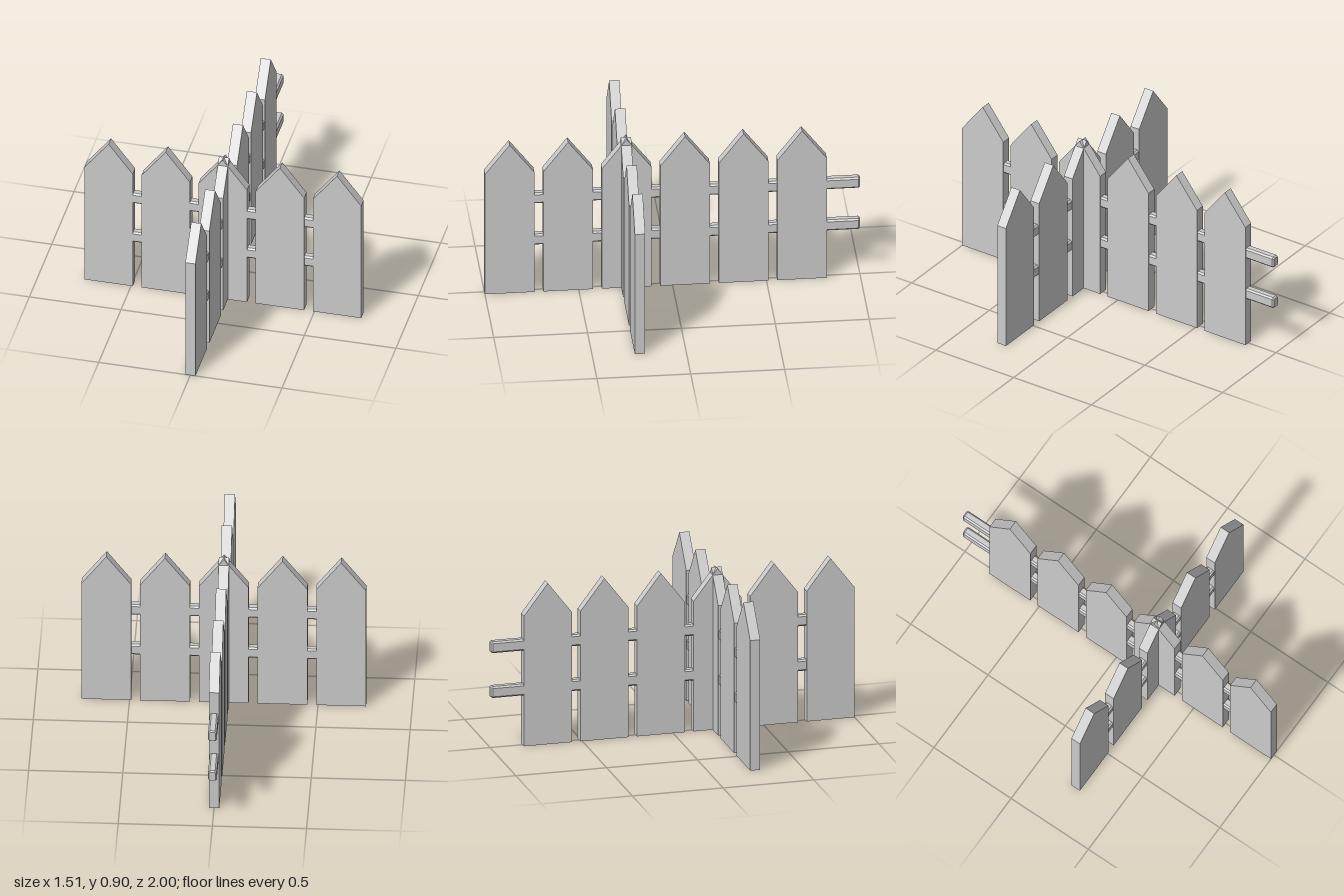
import * as THREE from 'three';

const material = new THREE.MeshStandardMaterial({ color: 0xcccccc, flatShading: true });
const SPACING = 0.3115, WIDTH = 0.264, THICK = 0.055;
const SHOULDER = 0.725, PEAK = 0.897;
const RAIL_H = 0.064, RAIL_W = 0.046, CHAMFER = 0.009;

function polygon(points) {
  return new THREE.Shape(points.map(([x, y]) => new THREE.Vector2(x, y)));
}

// Pointed board, centred on its own x and z, standing on y = 0
function picketGeometry() {
  const w = WIDTH / 2;
  const shape = polygon([[-w, 0], [w, 0], [w, SHOULDER], [0, PEAK], [-w, SHOULDER]]);
  return new THREE.ExtrudeGeometry(shape, { depth: THICK, bevelEnabled: false })
    .translate(0, 0, -THICK / 2);
}

// Bar along x from x0 to x1 with all edges chamfered
function railGeometry(x0, x1) {
  const w = RAIL_W / 2, h = RAIL_H / 2, c = CHAMFER;
  const shape = polygon([
    [-w + c, -h], [w - c, -h], [w, -h + c], [w, h - c],
    [w - c, h], [-w + c, h], [-w, h - c], [-w, -h + c],
  ]);
  return new THREE.ExtrudeGeometry(shape, {
    depth: x1 - x0 - 2 * c, bevelEnabled: true, bevelSegments: 1,
    bevelSize: c * 0.7, bevelOffset: -c * 0.7, bevelThickness: c,
  }).translate(0, 0, c).rotateY(Math.PI / 2).translate(x0, 0, 0);
}

// Straight run of pickets along x, joined by two rails
function fence(name, firstX, count, railStart, railEnd) {
  const group = new THREE.Group();
  group.name = name;
  const picket = picketGeometry();
  for (let i = 0; i < count; i++) {
    const mesh = new THREE.Mesh(picket, material);
    mesh.name = 'picket';
    mesh.position.x = firstX + i * SPACING;
    group.add(mesh);
  }
  const rail = railGeometry(railStart, railEnd);
  for (const [railName, y] of [['lowerRail', 0.312], ['upperRail', 0.562]]) {
    const mesh = new THREE.Mesh(rail, material);
    mesh.name = railName;
    mesh.position.y = y;
    group.add(mesh);
  }
  return group;
}

export function createModel() {
  const model = new THREE.Group();
  model.name = 'crossedPicketFence';

  // Cross run, symmetric about x = 0
  const cross = fence('crossFence', -2 * SPACING, 5, -0.7, 0.7);
  cross.position.z = 0.246;
  model.add(cross);

  // Long run from front to back, its rails sticking out at the back
  const long = fence('longFence', -0.868, 6, -0.94, 1);
  long.rotation.y = Math.PI / 2;
  model.add(long);

  return model;
}
